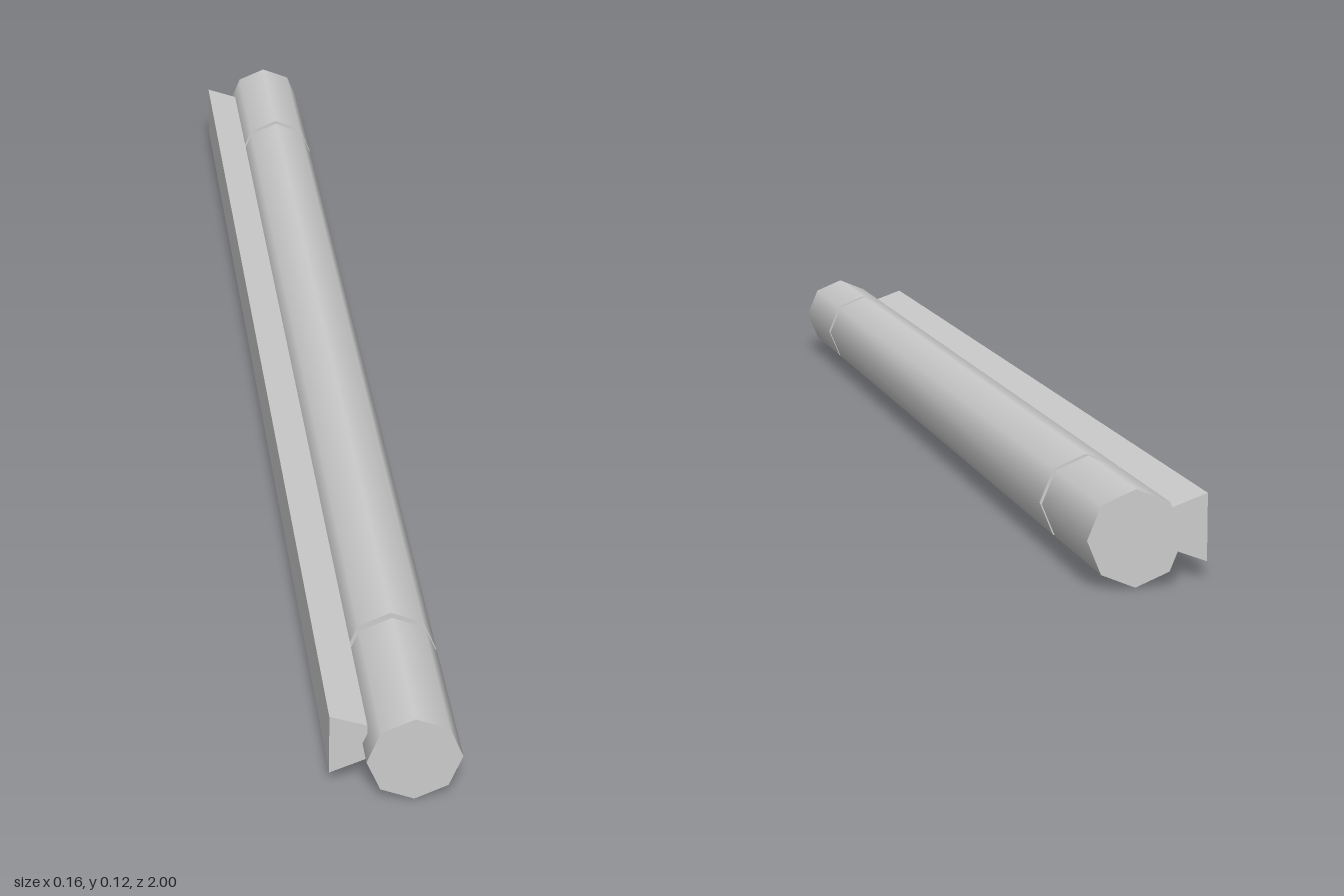
import * as THREE from 'three';

const LENGTH = 2, RADIUS = 0.061, SIDES = 8;
const AXIS_X = 0.021, AXIS_Y = 0.061;
const GROOVE_Z = 0.77, GROOVE_WIDTH = 0.012, GROOVE_DEPTH = 0.01;

export function createModel() {
  const model = new THREE.Group();
  model.name = 'tubeLight';
  const material = new THREE.MeshStandardMaterial({ color: 0xcccccc });

  const add = (name, geometry) => {
    const mesh = new THREE.Mesh(geometry, material);
    mesh.name = name;
    model.add(mesh);
  };

  // Smooth eight-sided rod along z, with flat end caps
  const addRod = (name, radius, z0, z1) => {
    const geometry = new THREE.CylinderGeometry(radius, radius, z1 - z0, SIDES);
    geometry.rotateX(Math.PI / 2);
    geometry.translate(AXIS_X, AXIS_Y, (z0 + z1) / 2);
    add(name, geometry);
  };

  // Long middle tube, between the two grooves
  const inner = GROOVE_Z - GROOVE_WIDTH / 2;
  const outer = GROOVE_Z + GROOVE_WIDTH / 2;
  addRod('tube', RADIUS, -inner, inner);

  // End caps and the recessed necks that join them to the tube
  addRod('frontEndCap', RADIUS, outer, LENGTH / 2);
  addRod('backEndCap', RADIUS, -LENGTH / 2, -outer);
  addRod('frontGroove', RADIUS - GROOVE_DEPTH, inner, outer);
  addRod('backGroove', RADIUS - GROOVE_DEPTH, -outer, -inner);

  // Tapered mounting rail along the right side
  const rail = new THREE.Shape([
    new THREE.Vector2(-0.082, 0.019),
    new THREE.Vector2(-0.034, 0.037),
    new THREE.Vector2(-0.034, 0.088),
    new THREE.Vector2(-0.082, 0.105),
  ]);
  const railGeometry = new THREE.ExtrudeGeometry(rail, { depth: 1.92, bevelEnabled: false });
  railGeometry.translate(0, 0, -0.96);
  add('mountingRail', railGeometry);

  return model;
}
